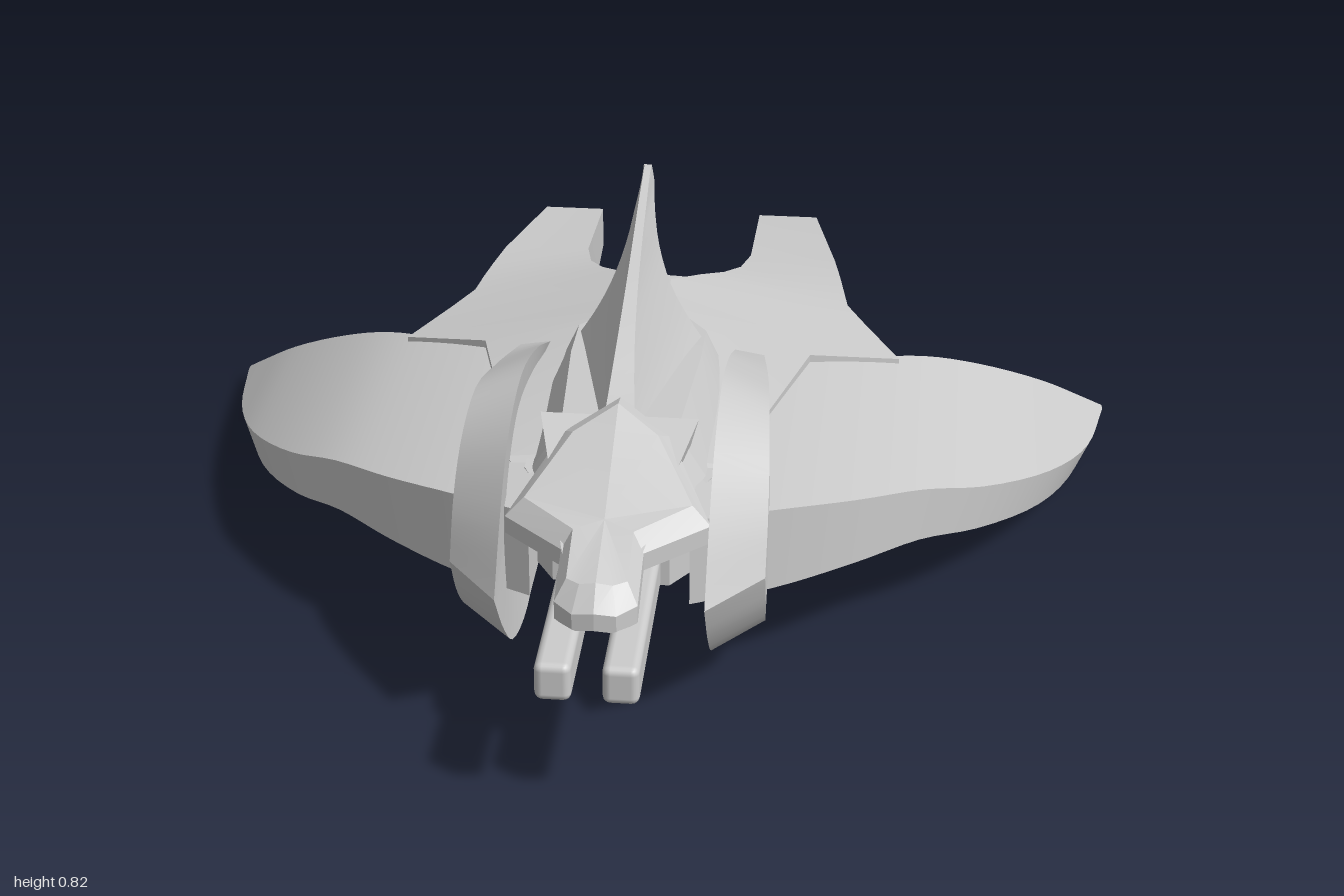
import * as THREE from 'three';
import { toCreasedNormals } from 'three/addons/utils/BufferGeometryUtils.js';
import { RoundedBoxGeometry } from 'three/addons/geometries/RoundedBoxGeometry.js';

const V = (x, y, z) => new THREE.Vector3(x, y, z);
const mat = new THREE.MeshStandardMaterial({ color: 0xcccccc });

// Skin a closed loft over cross-sections (arrays of Vector3), capped at both ends
function loft(sections, crease = 0.45) {
  const pos = [];
  const n = sections[0].length;
  const tri = (...pts) => pts.forEach((p) => pos.push(p.x, p.y, p.z));
  for (let i = 0; i < sections.length - 1; i++) {
    const a = sections[i], b = sections[i + 1];
    for (let j = 0; j < n; j++) {
      const k = (j + 1) % n;
      tri(a[j], a[k], b[k]);
      tri(a[j], b[k], b[j]);
    }
  }
  const cap = (s, flip) => {
    const c = V(0, 0, 0);
    s.forEach((p) => c.addScaledVector(p, 1 / n));
    s.forEach((p, j) => (flip ? tri(c, s[(j + 1) % n], p) : tri(c, p, s[(j + 1) % n])));
  };
  cap(sections[0], true);
  cap(sections[sections.length - 1], false);
  // Signed volume tells whether the faces point outwards
  let vol = 0;
  for (let i = 0; i < pos.length; i += 9) {
    const [a, b, c] = [0, 3, 6].map((o) => V(pos[i + o], pos[i + o + 1], pos[i + o + 2]));
    vol += a.dot(b.cross(c));
  }
  if (vol < 0) {
    for (let i = 0; i < pos.length; i += 9) {
      for (let o = 0; o < 3; o++) {
        [pos[i + 3 + o], pos[i + 6 + o]] = [pos[i + 6 + o], pos[i + 3 + o]];
      }
    }
  }
  const g = new THREE.BufferGeometry();
  g.setAttribute('position', new THREE.Float32BufferAttribute(pos, 3));
  return toCreasedNormals(g, crease);
}

// Smooth a run of sections with one spline per corner
function resample(sections, steps) {
  const rails = sections[0].map((_, j) => new THREE.CatmullRomCurve3(sections.map((s) => s[j])));
  return Array.from({ length: steps + 1 }, (_, i) => rails.map((r) => r.getPoint(i / steps)));
}

const mirror = (sections) => sections.map((s) => s.map((p) => V(-p.x, p.y, p.z)));

export function createModel() {
  const group = new THREE.Group();
  const add = (name, geometry) => {
    const m = new THREE.Mesh(geometry, mat);
    m.name = name;
    group.add(m);
    return m;
  };
  const addPair = (name, sections, crease) => {
    add('left' + name, loft(sections, crease));
    add('right' + name, loft(mirror(sections), crease));
  };

  // Drooping swept wings: x, leading z, trailing z, top y, bottom y
  const wing = [
    [0.15, 0.59, 0.0, 0.42, 0.24], [0.3, 0.51, -0.1, 0.405, 0.235],
    [0.45, 0.405, -0.2, 0.375, 0.235], [0.58, 0.28, -0.3, 0.335, 0.222],
    [0.7, 0.15, -0.395, 0.275, 0.178], [0.85, -0.11, -0.525, 0.175, 0.095],
    [0.95, -0.39, -0.62, 0.09, 0.03], [1.0, -0.65, -0.67, 0.045, 0.0],
  ].map(([x, zl, zt, yt, yb]) => {
    const xb = x - 0.03 * x ** 4;
    return [V(x, yt, zl), V(x, yt, zt), V(xb, yb, zt), V(xb, yb, zl)];
  });
  addPair('Wing', resample(wing, 28));

  // Split hull with tail booms: z, inner x, outer x, top inner/outer y, bottom inner/outer y
  const hull = [
    [-0.95, 0.187, 0.322, 0.365, 0.365, 0.27, 0.27],
    [-0.64, 0.185, 0.375, 0.4, 0.395, 0.23, 0.25],
    [-0.55, 0.168, 0.39, 0.412, 0.395, 0.215, 0.25],
    [-0.48, 0.135, 0.4, 0.43, 0.395, 0.205, 0.245],
    [-0.42, 0.09, 0.41, 0.45, 0.39, 0.2, 0.245],
    [-0.35, 0.03, 0.45, 0.468, 0.38, 0.195, 0.245],
    [-0.22, 0.03, 0.525, 0.475, 0.365, 0.19, 0.25],
    [-0.12, 0.03, 0.34, 0.48, 0.415, 0.185, 0.23],
    [0.18, 0.03, 0.26, 0.455, 0.42, 0.17, 0.2],
    [0.38, 0.03, 0.22, 0.44, 0.42, 0.16, 0.195],
    [0.41, 0.03, 0.2, 0.43, 0.41, 0.22, 0.24],
  ].map(([z, xi, xo, ti, to, bi, bo]) => [V(xi, ti, z), V(xo, to, z), V(xo, bo, z), V(xi, bi, z)]);
  addPair('HullAndTailBoom', hull, 0.3);

  // Round core between the booms
  const core = add('centralCore', new THREE.CylinderGeometry(0.2, 0.2, 0.1, 40));
  core.position.set(0, 0.32, -0.38);

  // Spine deck and forward body
  const deck = [
    [-0.155, 0.07, 0.08, 0.495, 0.46], [-0.1, 0.085, 0.1, 0.5, 0.45],
    [-0.03, 0.13, 0.17, 0.505, 0.42], [0.1, 0.13, 0.19, 0.51, 0.4],
    [0.42, 0.11, 0.19, 0.51, 0.38], [0.58, 0.08, 0.14, 0.47, 0.36],
  ].map(([z, wt, wb, yt, yb]) => [V(-wt, yt, z), V(wt, yt, z), V(wb, yb, z), V(-wb, yb, z)]);
  add('spineDeck', loft(deck, 0.2));
  const body = [[0.1, 0.19, 0.43, 0.24], [0.42, 0.18, 0.42, 0.24], [0.56, 0.11, 0.41, 0.26]]
    .map(([z, w, yt, yb]) => [V(-w, yt, z), V(w, yt, z), V(w, yb, z), V(-w, yb, z)]);
  add('forwardBody', loft(body, 0.2));

  // Crescent guards: rim on the inner side, rim on the outer side, inside edge (z, y)
  const guard = (rows) => resample(rows.map(([az, ay, bz, by, cz, cy, xo]) => [
    V(0.19, ay, az), V(xo, by, bz), V(xo, cy, cz), V(0.2, cy, cz),
  ]), 18);
  const upper = guard([
    [-0.03, 0.465, -0.02, 0.46, -0.02, 0.445, 0.25],
    [0.18, 0.55, 0.18, 0.515, 0.18, 0.495, 0.268],
    [0.38, 0.59, 0.37, 0.555, 0.36, 0.51, 0.28],
    [0.55, 0.55, 0.49, 0.51, 0.47, 0.465, 0.288],
    [0.66, 0.455, 0.57, 0.43, 0.535, 0.4, 0.292],
    [0.755, 0.33, 0.63, 0.33, 0.56, 0.33, 0.292],
  ]);
  const lower = guard([
    [0.755, 0.33, 0.63, 0.33, 0.56, 0.33, 0.292],
    [0.66, 0.21, 0.57, 0.23, 0.535, 0.26, 0.292],
    [0.55, 0.115, 0.49, 0.15, 0.47, 0.195, 0.288],
    [0.37, 0.07, 0.36, 0.105, 0.35, 0.15, 0.28],
    [0.2, 0.105, 0.2, 0.125, 0.2, 0.15, 0.27],
    [0.08, 0.155, 0.08, 0.16, 0.08, 0.172, 0.255],
  ]);
  addPair('CrescentGuard', [...upper, ...lower.slice(1)]);

  // Beaked head: the outline (half width, z) repeated as top face, rim and underside
  const ring = (pts, drop) => {
    const half = pts.map(([x, z]) => V(x, 0.575 - 0.43 * (z - 0.4) - 0.2 * x - drop, z));
    const other = half.slice(1, -1).reverse().map((p) => V(-p.x, p.y, p.z));
    return [...half, ...other];
  };
  const rim = [[0, 0.38], [0.1, 0.44], [0.19, 0.61], [0.075, 0.695], [0.075, 0.8], [0.04, 0.83], [0, 0.835]];
  const face = [[0, 0.42], [0.08, 0.47], [0.155, 0.6], [0.055, 0.68], [0.055, 0.78], [0.03, 0.795], [0, 0.797]];
  add('beakedHead', loft([ring(face, 0), ring(rim, 0.025), ring(rim, 0.06)], 0.2));
  const neck = [[0.4, 0.15, 0.53, 0.36], [0.6, 0.1, 0.46, 0.35], [0.79, 0.05, 0.37, 0.34]]
    .map(([z, w, yt, yb]) => [V(-w, yt, z), V(w, yt, z), V(w * 0.7, yb, z), V(-w * 0.7, yb, z)]);
  add('neck', loft(neck, 0.2));

  // Swept dorsal fin, flared at the base: y, front z, rear z, front and rear half width
  const fin = [
    [0.48, 0.44, 0.0, 0.035, 0.14], [0.55, 0.38, 0.0, 0.026, 0.095],
    [0.62, 0.3, 0.0, 0.018, 0.06], [0.69, 0.18, -0.03, 0.012, 0.034],
    [0.75, 0.05, -0.08, 0.009, 0.02], [0.785, -0.04, -0.14, 0.008, 0.013],
    [0.82, -0.13, -0.137, 0.006, 0.008],
  ].map(([y, zf, zr, wf, wr]) => [V(wf, y, zf), V(wr, y, zr), V(-wr, y, zr), V(-wf, y, zf)]);
  add('dorsalFin', loft(resample(fin, 18)));

  // Teardrop pods under the wings and twin nose guns
  const podProfile = new THREE.SplineCurve([
    [0.038, 0.17], [0.066, 0.06], [0.087, -0.11], [0.072, -0.26], [0.042, -0.38], [0.025, -0.44],
  ].map(([r, z]) => new THREE.Vector2(r, z))).getPoints(20);
  const pod = new THREE.LatheGeometry(
    [new THREE.Vector2(0, 0.17), ...podProfile, new THREE.Vector2(0, -0.44)].reverse(), 28);
  pod.rotateX(Math.PI / 2 - 0.06);
  for (const side of [1, -1]) {
    const name = side > 0 ? 'left' : 'right';
    add(name + 'Pod', toCreasedNormals(pod, 0.6)).position.set(side * 0.455, 0.172, 0);
    add(name + 'NoseGun', new RoundedBoxGeometry(0.066, 0.076, 0.6, 2, 0.015))
      .position.set(side * 0.06, 0.288, 0.65);
  }
  return group;
}
